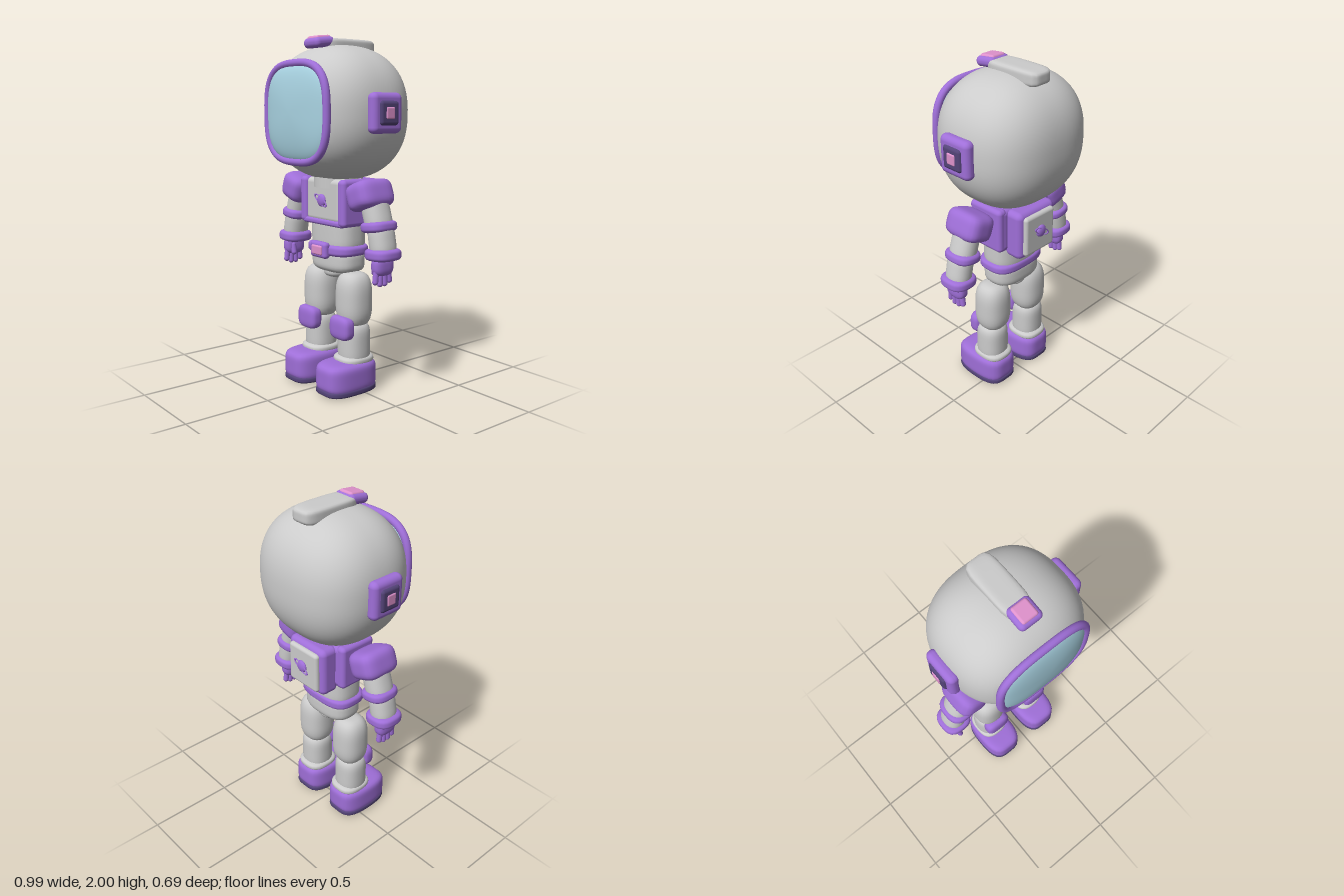
import * as THREE from 'three';
import { mergeVertices } from 'three/addons/utils/BufferGeometryUtils.js';
import { RoundedBoxGeometry } from 'three/addons/geometries/RoundedBoxGeometry.js';

const mat = (color) => new THREE.MeshStandardMaterial({ color });
const WHITE = mat(0xcccccc), PURPLE = mat(0x9f6fd8), DARK = mat(0x544478);
const PINK = mat(0xdf92cc), BLUE = mat(0xa9d3e2);

// Superellipsoid: p shapes the height profile, q the plan outline (2 = round, higher = boxier)
function soft(rx, ry, rz, p = 4, q = p, detail = 32) {
  const g = new THREE.SphereGeometry(1, detail, Math.round(detail * 0.75));
  g.deleteAttribute('uv');
  g.deleteAttribute('normal');
  const pos = g.attributes.position;
  for (let i = 0; i < pos.count; i++) {
    const x = pos.getX(i), y = pos.getY(i), z = pos.getZ(i);
    const plan = Math.pow(Math.abs(x) ** q + Math.abs(z) ** q, 1 / q);
    const k = Math.pow(plan ** p + Math.abs(y) ** p, -1 / p);
    pos.setXYZ(i, x * k * rx, y * k * ry, z * k * rz);
  }
  const m = mergeVertices(g, 1e-5);
  m.computeVertexNormals();
  return m;
}

const rbox = (w, h, d, r) => new RoundedBoxGeometry(w, h, d, 4, r);

function add(parent, name, geo, material, x = 0, y = 0, z = 0, rx = 0, ry = 0, rz = 0) {
  const m = new THREE.Mesh(geo, material);
  m.name = name;
  m.position.set(x, y, z);
  m.rotation.set(rx, ry, rz);
  parent.add(m);
  return m;
}

function group(parent, name) {
  const g = new THREE.Group();
  g.name = name;
  parent.add(g);
  return g;
}

// Small ringed planet ornament
function planet(parent, y, z) {
  const g = group(parent, 'planetOrnament');
  g.position.set(0, y, z);
  add(g, 'planet', new THREE.SphereGeometry(0.036, 20, 14).scale(1, 1, 0.45), PURPLE);
  const ring = new THREE.TorusGeometry(0.052, 0.006, 8, 32).scale(1.1, 0.36, 0.7);
  add(g, 'planetRing', ring, PURPLE, 0, 0, 0.008 * Math.sign(z), 0, 0, -0.5 * Math.sign(z));
}

function buildHead(root) {
  const head = group(root, 'head');
  // Helmet shell, cut flat behind the visor
  const shell = soft(0.385, 0.375, 0.345, 2.35, 2.5, 72);
  const pos = shell.attributes.position;
  for (let i = 0; i < pos.count; i++) pos.setZ(i, Math.min(pos.getZ(i), 0.288));
  shell.computeVertexNormals();
  add(head, 'helmet', shell, WHITE, 0, 1.575, 0);

  // Domed visor and its tubular frame
  add(head, 'visor', soft(0.268, 0.055, 0.262, 2, 3, 56).rotateX(Math.PI / 2), BLUE, 0, 1.577, 0.289);
  const pts = [];
  for (let i = 0; i < 64; i++) {
    const a = (i / 64) * Math.PI * 2, c = Math.cos(a), s = Math.sin(a);
    const k = Math.pow(Math.abs(c) ** 3 + Math.abs(s) ** 3, -1 / 3);
    pts.push(new THREE.Vector3(c * k * 0.272, s * k * 0.265, 0));
  }
  const curve = new THREE.CatmullRomCurve3(pts, true);
  add(head, 'visorFrame', new THREE.TubeGeometry(curve, 128, 0.022, 12, true), PURPLE, 0, 1.577, 0.294);

  // Earpieces
  for (const s of [1, -1]) {
    const ear = group(head, s > 0 ? 'leftEarpiece' : 'rightEarpiece');
    add(ear, 'earPad', rbox(0.07, 0.215, 0.21, 0.032), PURPLE, s * 0.39, 1.577, 0);
    add(ear, 'earPlate', rbox(0.04, 0.13, 0.13, 0.019), DARK, s * 0.418, 1.577, 0);
    add(ear, 'earButton', rbox(0.02, 0.064, 0.06, 0.009), PINK, s * 0.433, 1.577, 0);
  }

  // Crest along the top with a lamp at its front
  add(head, 'crest', soft(0.077, 0.042, 0.175, 6, 5), WHITE, 0, 1.942, -0.05);
  add(head, 'lampHousing', rbox(0.136, 0.056, 0.13, 0.026), PURPLE, 0, 1.959, 0.135, 0.12);
  add(head, 'lamp', rbox(0.096, 0.03, 0.1, 0.014), PINK, 0, 1.981, 0.135, 0.1);
}

function buildTorso(root) {
  const torso = group(root, 'torso');
  add(torso, 'neck', new THREE.CylinderGeometry(0.14, 0.14, 0.08, 32), WHITE, 0, 1.2, 0);
  add(torso, 'chestPanel', rbox(0.31, 0.25, 0.2, 0.03), WHITE, 0, 1.088, 0.018);
  add(torso, 'chestBack', rbox(0.37, 0.255, 0.14, 0.03), PURPLE, 0, 1.08, -0.04);
  add(torso, 'chestTrim', rbox(0.36, 0.035, 0.225, 0.015), PURPLE, 0, 0.964, 0.012);
  for (const s of [1, -1])
    add(torso, 'chestRail', rbox(0.064, 0.265, 0.235, 0.025), PURPLE, s * 0.172, 1.082, 0.01);
  planet(torso, 1.088, 0.121);

  // Backpack
  add(torso, 'backpack', rbox(0.29, 0.29, 0.12, 0.035), PURPLE, 0, 1.06, -0.142);
  add(torso, 'backpackPanel', rbox(0.23, 0.24, 0.04, 0.019), WHITE, 0, 1.06, -0.205);
  planet(torso, 1.07, -0.228);

  // Waist, belt and hips
  add(torso, 'waist', soft(0.17, 0.12, 0.115, 5, 2.8), WHITE, 0, 0.9, 0);
  add(torso, 'belt', soft(0.187, 0.038, 0.125, 4, 3.2, 40), PURPLE, 0, 0.808, 0.004);
  add(torso, 'buckle', rbox(0.142, 0.094, 0.045, 0.02), PURPLE, 0, 0.808, 0.132);
  add(torso, 'buckleInset', rbox(0.092, 0.054, 0.02, 0.009), PINK, 0, 0.808, 0.154);
  add(torso, 'hips', soft(0.17, 0.075, 0.112, 4, 2.8), WHITE, 0, 0.745, 0);
  add(torso, 'crotch', soft(0.065, 0.04, 0.085, 3, 2.5), WHITE, 0, 0.676, 0);
}

function buildArm(root, s) {
  const arm = group(root, s > 0 ? 'leftArm' : 'rightArm');
  const part = (name, geo, m, x, y, z, tilt) => add(arm, name, geo, m, s * x, y, z, 0, 0, s * tilt);
  part('shoulderPad', soft(0.092, 0.08, 0.12, 4), PURPLE, 0.303, 1.137, 0.023, 0.35);
  part('upperArm', soft(0.068, 0.11, 0.078, 4, 2.3), WHITE, 0.35, 1.04, 0.015, 0.32);
  part('elbowBand', soft(0.084, 0.033, 0.094, 3.5, 2.8), PURPLE, 0.368, 0.973, 0.015, 0.13);
  part('forearm', soft(0.066, 0.095, 0.074, 4, 2.3), WHITE, 0.395, 0.9, 0.015, 0.2);
  part('wristCuff', soft(0.088, 0.034, 0.091, 4, 2.8), PURPLE, 0.405, 0.827, 0.017, 0.04);

  // Hand with four fingers and an inner thumb
  part('palm', soft(0.038, 0.055, 0.065, 3), PURPLE, 0.41, 0.768, 0.025, 0);
  for (let i = 0; i < 4; i++) {
    const edge = Math.abs(i - 1.5) > 1 ? 0.014 : 0;
    const finger = part('finger', new THREE.CapsuleGeometry(0.0165, 0.055, 5, 12), PURPLE,
      0.413, 0.697 + edge, -0.018 + i * 0.031, 0);
    finger.rotation.x = (1.5 - i) * 0.08;
  }
  part('thumb', new THREE.CapsuleGeometry(0.017, 0.045, 5, 12), PURPLE, 0.378, 0.75, 0.05, -0.2);
}

function buildLeg(root, s) {
  const leg = group(root, s > 0 ? 'leftLeg' : 'rightLeg');
  const part = (name, geo, m, x, y, z) => add(leg, name, geo, m, s * x, y, z);
  part('thigh', soft(0.099, 0.158, 0.098, 3.4, 2.4), WHITE, 0.15, 0.53, 0.007);
  part('shin', soft(0.088, 0.125, 0.088, 5, 2.4), WHITE, 0.155, 0.275, 0.01);
  part('kneePad', soft(0.082, 0.068, 0.042, 3.5), PURPLE, 0.152, 0.378, 0.096);
  part('ankleCuff', soft(0.098, 0.03, 0.108, 3, 2.8), WHITE, 0.152, 0.187, 0.01);

  // Boot narrows toward the toe and heel
  const boot = soft(0.117, 0.085, 0.171, 5.5, 4, 40), sole = soft(0.118, 0.025, 0.172, 4, 4, 40);
  for (const g of [boot, sole]) {
    const pos = g.attributes.position;
    for (let i = 0; i < pos.count; i++) {
      const z = pos.getZ(i) / 0.171;
      pos.setX(i, pos.getX(i) * (1 - 0.12 * z * z));
    }
    g.computeVertexNormals();
  }
  part('boot', boot, PURPLE, 0.153, 0.1, 0.065);
  part('sole', sole, DARK, 0.153, 0.025, 0.065);
}

export function createModel() {
  const root = new THREE.Group();
  root.name = 'astronaut';
  buildHead(root);
  buildTorso(root);
  for (const s of [1, -1]) {
    buildArm(root, s);
    buildLeg(root, s);
  }
  return root;
}
